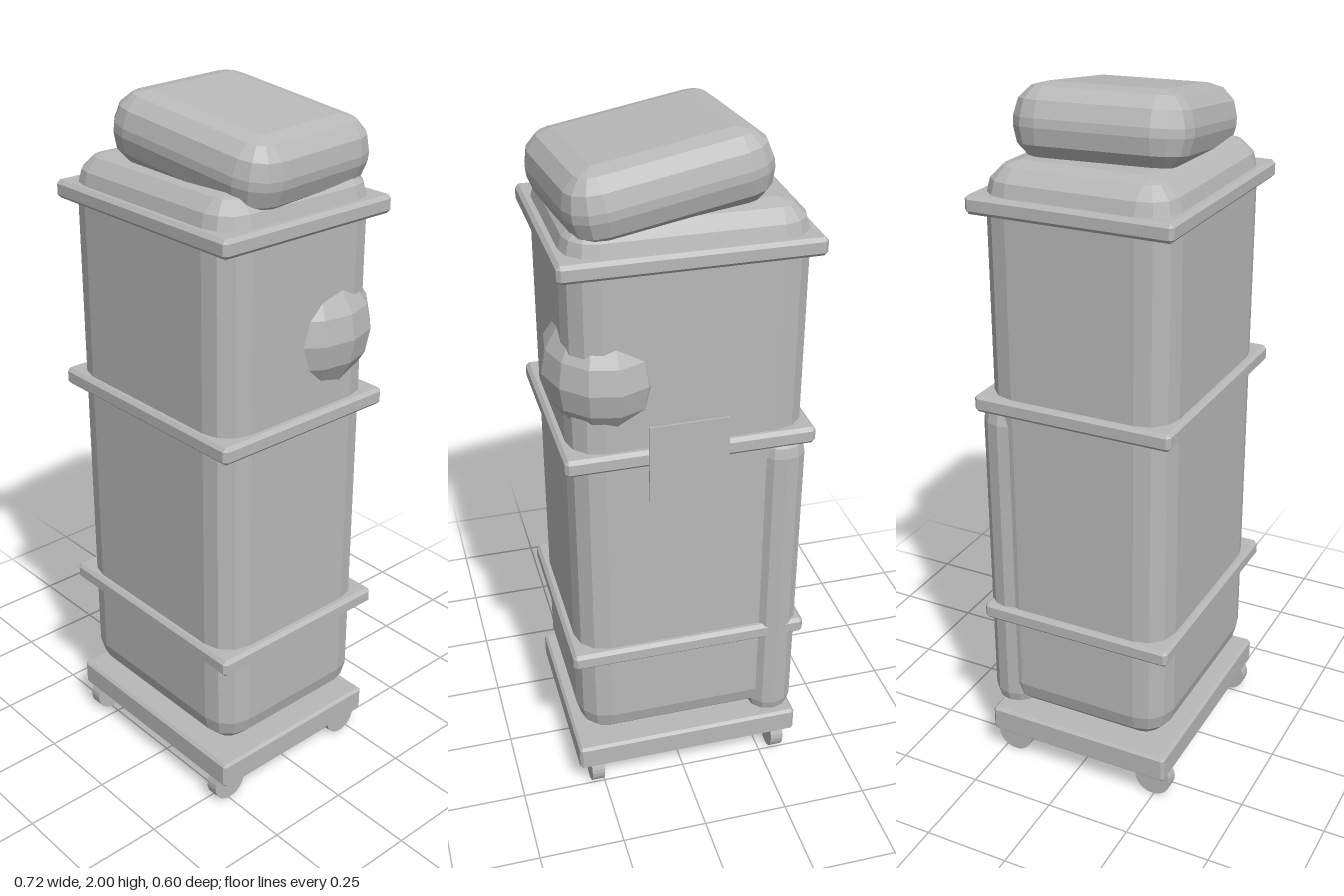
import * as THREE from 'three';

const grey = new THREE.MeshStandardMaterial({ color: 0xb8b8b8, flatShading: true });
grey.name = 'plain grey';

// Box with rounded edges and corners, each quarter turn cut into segs facets
function softBox(w, h, d, r, segs) {
  const points = [], faces = [];
  const quarter = Math.PI / 2;
  const count = 4 * (segs + 1), rings = 2 * (segs + 1);
  for (let i = 0; i < rings; i++) {
    const upper = i > segs ? 1 : -1;
    const lat = (i > segs ? i - segs - 1 : i - segs) / segs * quarter;
    for (let c = 0; c < 4; c++) {
      const sx = c === 0 || c === 3 ? 1 : -1, sz = c < 2 ? 1 : -1;
      for (let k = 0; k <= segs; k++) {
        const a = (c + k / segs) * quarter;
        points.push(
          sx * (w / 2 - r) + r * Math.cos(lat) * Math.cos(a),
          upper * (h / 2 - r) + r * Math.sin(lat),
          sz * (d / 2 - r) + r * Math.cos(lat) * Math.sin(a));
      }
    }
  }
  for (let i = 0; i < rings - 1; i++) {
    for (let j = 0; j < count; j++) {
      const n = (j + 1) % count;
      const a = i * count + j, b = i * count + n;
      faces.push(a, a + count, b, b, a + count, b + count);
    }
  }
  const top = (rings - 1) * count;
  for (let j = 1; j < count - 1; j++) {
    faces.push(0, j, j + 1, top, top + j + 1, top + j);
  }
  const geometry = new THREE.BufferGeometry();
  geometry.setAttribute('position', new THREE.Float32BufferAttribute(points, 3));
  geometry.setIndex(faces);
  const flat = geometry.toNonIndexed();
  flat.computeVertexNormals();
  return flat;
}

export function createModel() {
  const model = new THREE.Group();
  const add = (name, geometry, x, y, z) => {
    const mesh = new THREE.Mesh(geometry, grey);
    mesh.name = name;
    mesh.position.set(x, y, z);
    model.add(mesh);
    return mesh;
  };

  // Tall padded body
  add('body', softBox(0.655, 1.64, 0.542, 0.09, 3), -0.015, 1.0, 0.01);

  // Three straps around the body
  for (const y of [0.505, 1.165, 1.715]) {
    add('strap', softBox(0.693, 0.05, 0.58, 0.01, 1), -0.012, y, 0.01);
  }

  // Wheeled base
  add('base', softBox(0.68, 0.08, 0.565, 0.008, 1), -0.014, 0.12, 0.0125);
  for (const x of [-0.3, 0.272]) {
    for (const z of [0.245, -0.217]) {
      const wheel = new THREE.CylinderGeometry(0.055, 0.055, 0.038, 24);
      wheel.rotateZ(Math.PI / 2);
      add('wheel', wheel, x, 0.055, z);
    }
  }

  // Tilted cushion on top
  const cushion = add('cushion', softBox(0.555, 0.2, 0.48, 0.088, 3), 0.042, 1.874, -0.01);
  cushion.rotation.set(0, 0.105, -0.14);

  // Bulge pushing out of the back corner
  const bulge = new THREE.SphereGeometry(1, 12, 8);
  bulge.scale(0.16, 0.18, 0.187);
  add('bulge', bulge, 0.2, 1.38, -0.118).rotation.y = 0.08;

  // Upright roll on the back
  const profile = [[0, 0], [0.045, 0], [0.063, 0.012], [0.07, 0.04],
    [0.07, 0.92], [0.063, 0.95], [0.045, 0.963], [0, 0.963]];
  const roll = new THREE.LatheGeometry(profile.map(([r, y]) => new THREE.Vector2(r, y)), 12);
  add('roll', roll, -0.277, 0.185, -0.217);

  // Label plate on the back
  add('plate', new THREE.BoxGeometry(0.22, 0.23, 0.006), 0, 1.15, -0.282);

  return model;
}
